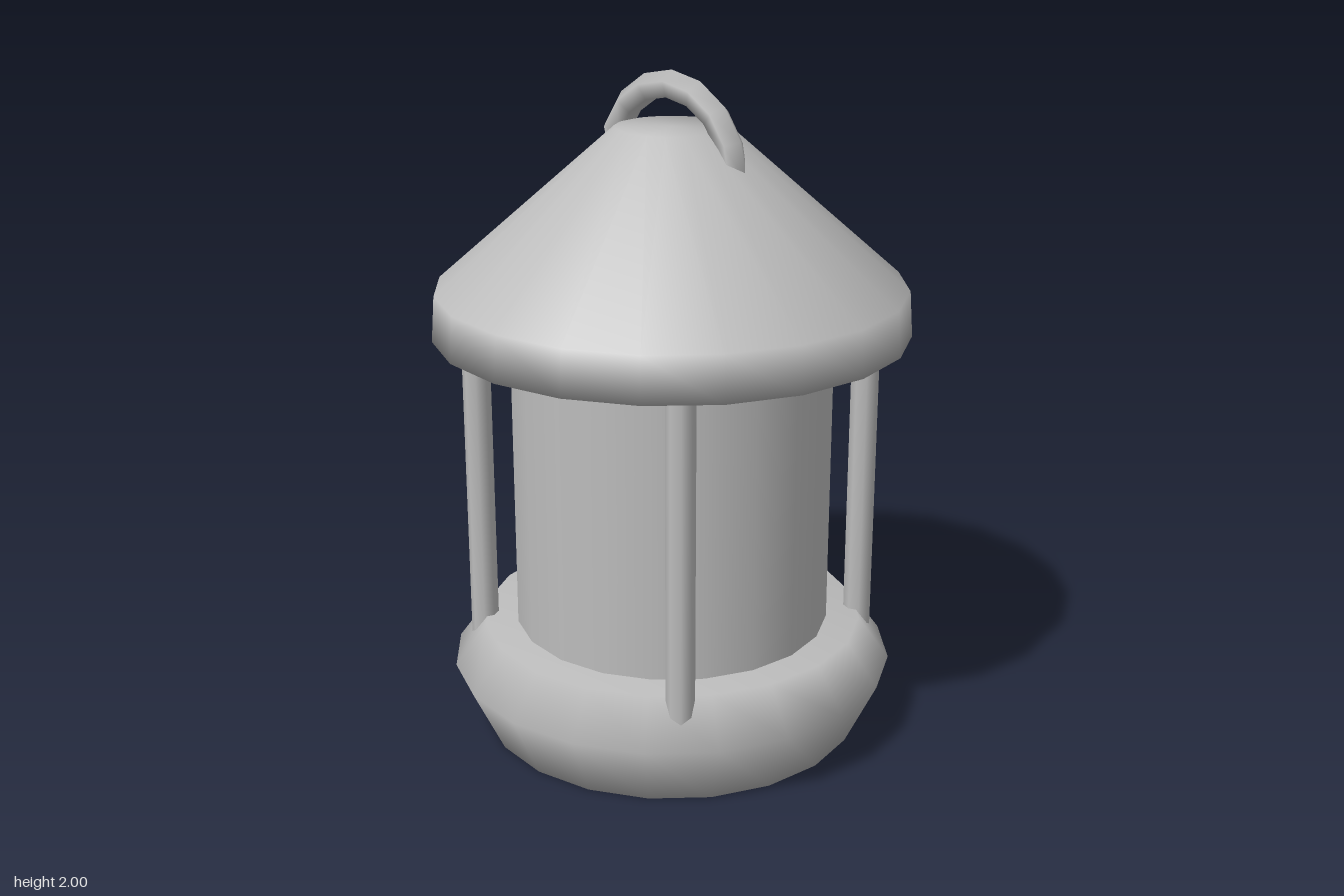
import * as THREE from 'three';

const SIDES = 20;

export function createModel() {
  const model = new THREE.Group();
  model.name = 'lantern';
  const grey = new THREE.MeshStandardMaterial({ color: 0xbcbcbc });
  grey.name = 'grey';

  const add = (name, geometry, x = 0, y = 0, z = 0) => {
    const mesh = new THREE.Mesh(geometry, grey);
    mesh.name = name;
    mesh.position.set(x, y, z);
    model.add(mesh);
    return mesh;
  };
  // Round part from a closed [radius, height] profile, bottom to top
  const turned = (name, profile) =>
    add(name, new THREE.LatheGeometry(profile.map(([r, y]) => new THREE.Vector2(r, y)), SIDES));

  // Base with a bulging rim
  turned('base', [[0, 0], [0.58, 0], [0.675, 0.2], [0.58, 0.33], [0, 0.33]]);

  // Round body between base and roof
  add('body', new THREE.CylinderGeometry(0.48, 0.48, 0.95, SIDES, 1, true), 0, 0.785, 0);

  // Conical roof with a short skirt and a flat top
  turned('roof', [[0, 1.24], [0.705, 1.24], [0.695, 1.375], [0.165, 1.84], [0, 1.84]]);

  // Four posts, sunk into the rim of the base
  for (const x of [-0.41, 0.41]) {
    for (const z of [-0.41, 0.41]) {
      add('post', new THREE.CylinderGeometry(0.042, 0.042, 1.05, 8), x, 0.735, z);
    }
  }

  // Carrying handle, with one end tucked inward into the roof
  const handle = new THREE.TorusGeometry(0.238, 0.042, 5, 8, Math.PI);
  const p = handle.attributes.position;
  for (let i = 0; i < p.count; i++) {
    if (p.getX(i) < 0 && p.getY(i) < 0.001) p.setX(i, p.getX(i) + 0.045);
  }
  add('handle', handle, 0, 1.72, 0);

  return model;
}
